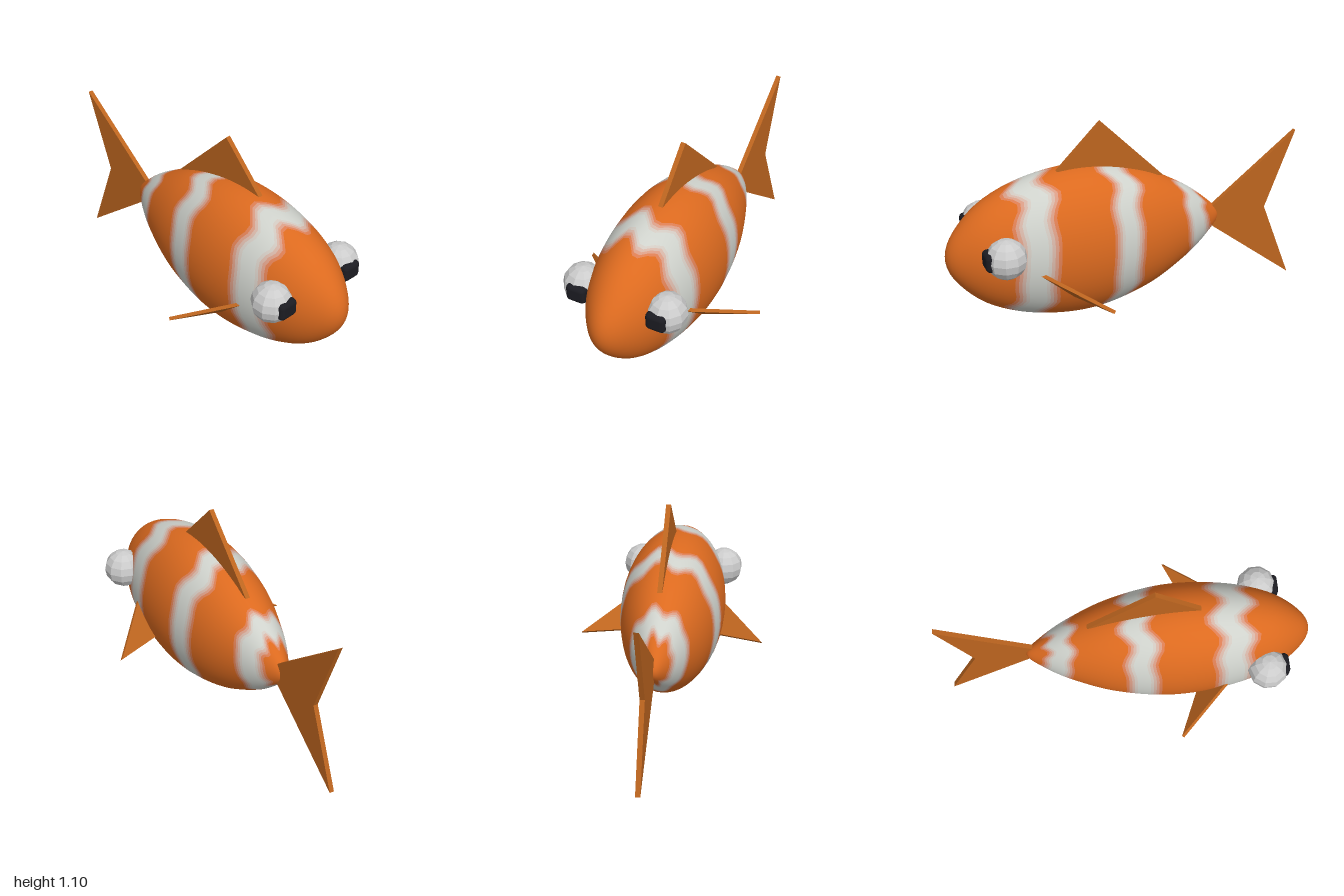
import * as THREE from 'three';
import { ConvexGeometry } from 'three/addons/geometries/ConvexGeometry.js';
import { RoundedBoxGeometry } from 'three/addons/geometries/RoundedBoxGeometry.js';

const MID_Y = 0.445, MID_Z = 0.012, FLATTEN = 0.686;
const X0 = -0.55, X1 = 1, HALF = (X1 - X0) / 2, CX = (X0 + X1) / 2;
const ORANGE = new THREE.Color(0xdc6a1f), WHITE = new THREE.Color(0xcfd2cc);

// Body half-height along its length, at equal angles from tail to nose
const heights = [0, 0.088, 0.222, 0.35, 0.415, 0.39, 0.297, 0.148, 0];
const profile = new THREE.CubicInterpolant(heights.map((h, i) => i * Math.PI / 8), heights, 1, [0]);
const angleAt = x => Math.acos(THREE.MathUtils.clamp((CX - x) / HALF, -1, 1));
const radiusAt = x => Math.max(0, profile.evaluate(angleAt(x))[0]);

// Stripe centre at an angle round the body: straight on the flanks, jagged on back and belly
const triangleWave = t => 4 * Math.abs(t - Math.floor(t + 0.5)) - 1;
const stripes = [
  { x: -0.39, half: 0.035, fade: 0.05, jag: 0.035, slant: 0.03 },
  { x: 0.07, half: 0.035, fade: 0.06, jag: 0.055, slant: -0.01 },
  { x: 0.57, half: 0.045, fade: 0.07, jag: 0.06, slant: -0.02 },
];
const centre = (s, a) => {
  const side = Math.sin(a);
  return s.x + s.slant * side + s.jag * side * side * triangleWave(a * 8 / (2 * Math.PI) + 0.25);
};

// One ring of skin between two edges, each given as x for every angle
function skinBand(from, to, steps, color) {
  const geo = new THREE.PlaneGeometry(1, 1, steps, 48);
  const pos = geo.attributes.position, nor = geo.attributes.normal;
  const n = new THREE.Vector3();
  for (let i = 0; i < pos.count; i++) {
    const a = (pos.getY(i) + 0.5) * Math.PI * 2;
    const f = THREE.MathUtils.lerp(angleAt(from(a)), angleAt(to(a)), pos.getX(i) + 0.5);
    const x = CX - HALF * Math.cos(f);
    const r = radiusAt(x);
    const y = r * Math.sin(a), z = r * FLATTEN * Math.cos(a);
    const lo = Math.max(X0, x - 0.01), hi = Math.min(X1, x + 0.01);
    const slope = (radiusAt(hi) ** 2 - radiusAt(lo) ** 2) / (2 * (hi - lo));
    n.set(-slope, y, z / FLATTEN ** 2).normalize();
    pos.setXYZ(i, x, MID_Y + y, MID_Z + z);
    nor.setXYZ(i, n.x, n.y, n.z);
  }
  return new THREE.Mesh(geo, new THREE.MeshStandardMaterial({ color }));
}

function makeBody() {
  const body = new THREE.Group();
  body.name = 'body';
  const add = (name, ...args) => {
    const band = skinBand(...args);
    band.name = name;
    body.add(band);
  };
  const FADES = 4;
  let last = () => X0;
  for (const s of stripes) {
    const edge = d => a => centre(s, a) + d;
    add('orangeBand', last, edge(-s.half - s.fade), 8, ORANGE);
    // Soft edges: narrow bands of blended colour on both sides of the white
    for (const side of [-1, 1]) {
      for (let k = 0; k < FADES; k++) {
        const outer = side * (s.half + s.fade * (k + 1) / FADES);
        const inner = side * (s.half + s.fade * k / FADES);
        const mix = WHITE.clone().lerp(ORANGE, (k + 0.5) / FADES);
        add('stripeEdge', edge(Math.min(outer, inner)), edge(Math.max(outer, inner)), 1, mix);
      }
    }
    add('whiteStripe', edge(-s.half), edge(s.half), 2, WHITE);
    last = edge(s.half + s.fade);
  }
  add('orangeBand', last, () => X1, 12, ORANGE);
  return body;
}

const finMaterial = new THREE.MeshStandardMaterial({ color: 0xbd651f, flatShading: true });

// Upright fin cut from a flat outline
function flatFin(name, outline) {
  const shape = new THREE.Shape(outline.map(p => new THREE.Vector2(...p)));
  const geo = new THREE.ExtrudeGeometry(shape, { depth: 0.026, bevelEnabled: false });
  geo.translate(0, 0, -0.013);
  const fin = new THREE.Mesh(geo, finMaterial);
  fin.name = name;
  return fin;
}

// Thin triangular side fin
function sideFin(name, side) {
  const corners = [[0.26, 0.262, 0.515], [0.56, 0.4, 0.24], [0.38, 0.242, 0.24]]
    .map(([x, y, z]) => new THREE.Vector3(x, y, side * z));
  const offset = new THREE.Triangle(...corners).getNormal(new THREE.Vector3()).multiplyScalar(0.009);
  const points = corners.flatMap(c => [c.clone().add(offset), c.clone().sub(offset)]);
  const fin = new THREE.Mesh(new ConvexGeometry(points), finMaterial);
  fin.name = name;
  return fin;
}

// Faceted eyeball with a rounded block pupil looking forward
function makeEye(name, side) {
  const eye = new THREE.Group();
  eye.name = name;
  const ball = new THREE.Mesh(new THREE.SphereGeometry(0.108, 10, 8),
    new THREE.MeshStandardMaterial({ color: 0xcccccc, flatShading: true }));
  ball.name = 'eyeball';
  const pupil = new THREE.Mesh(new RoundedBoxGeometry(0.07, 0.098, 0.112, 3, 0.025),
    new THREE.MeshStandardMaterial({ color: 0x1c1c22 }));
  pupil.name = 'pupil';
  pupil.position.set(0.08, 0, -side * 0.012);
  eye.add(ball, pupil);
  eye.position.set(0.738, 0.52, MID_Z + side * 0.241);
  return eye;
}

export function createModel() {
  const fish = new THREE.Group();
  fish.name = 'fish';
  fish.add(
    makeBody(),
    flatFin('tailFin', [[-1, 0], [-0.43, 0.445], [-1, 0.885], [-0.83, 0.445]]),
    flatFin('dorsalFin', [[-0.21, 0.74], [0.39, 0.855], [0.145, 1.1]]),
  );
  for (const [label, side] of [['left', -1], ['right', 1]]) {
    fish.add(sideFin(label + 'SideFin', side), makeEye(label + 'Eye', side));
  }
  return fish;
}
